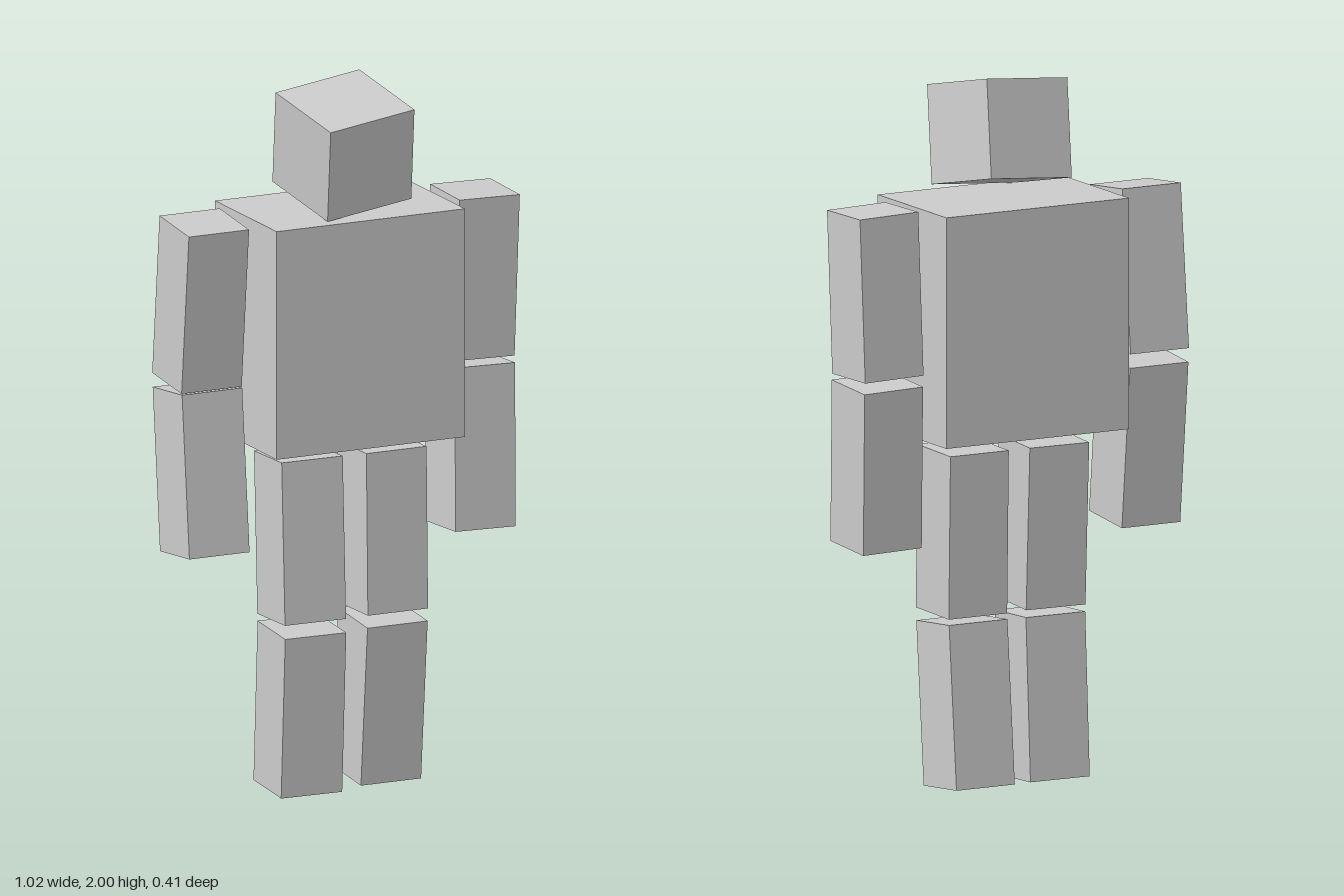
import * as THREE from 'three';

const material = new THREE.MeshStandardMaterial({ color: 0xcccccc, flatShading: true });

// Named box placed by its centre and turned by Euler angles
function block(name, size, position, rotation = [0, 0, 0]) {
  const mesh = new THREE.Mesh(new THREE.BoxGeometry(...size), material);
  mesh.name = name;
  mesh.position.set(...position);
  mesh.rotation.set(...rotation);
  return mesh;
}

export function createModel() {
  const model = new THREE.Group();
  model.name = 'blockFigure';

  // Torso and tilted head
  model.add(block('torso', [0.58, 0.65, 0.385], [0, 1.325, -0.0125]));
  model.add(block('head', [0.277, 0.277, 0.277], [-0.0075, 1.8275, 0.0235], [0.21, 0.137, 0.073]));

  // All limb segments share one size and differ only in pose
  const limb = [0.185, 0.46, 0.185];
  const segments = [
    ['leftUpperArm', [0.408, 1.418, -0.015], [0.02, 0, -0.025]],
    ['leftForearm', [0.395, 0.933, 0], [-0.06, 0, -0.025]],
    ['rightUpperArm', [-0.418, 1.417, -0.035], [0.1, 0, 0]],
    ['rightForearm', [-0.418, 0.938, -0.032], [-0.1, 0, 0]],
    ['leftThigh', [0.128, 0.726, -0.008], [-0.02, 0, 0]],
    ['leftShin', [0.128, 0.241, -0.026], [0.09, 0, 0]],
    ['rightThigh', [-0.13, 0.727, 0.001], [-0.045, -0.03, 0]],
    ['rightShin', [-0.13, 0.238, 0], [0.055, -0.03, 0]],
  ];
  for (const [name, position, rotation] of segments) {
    model.add(block(name, limb, position, rotation));
  }

  return model;
}
